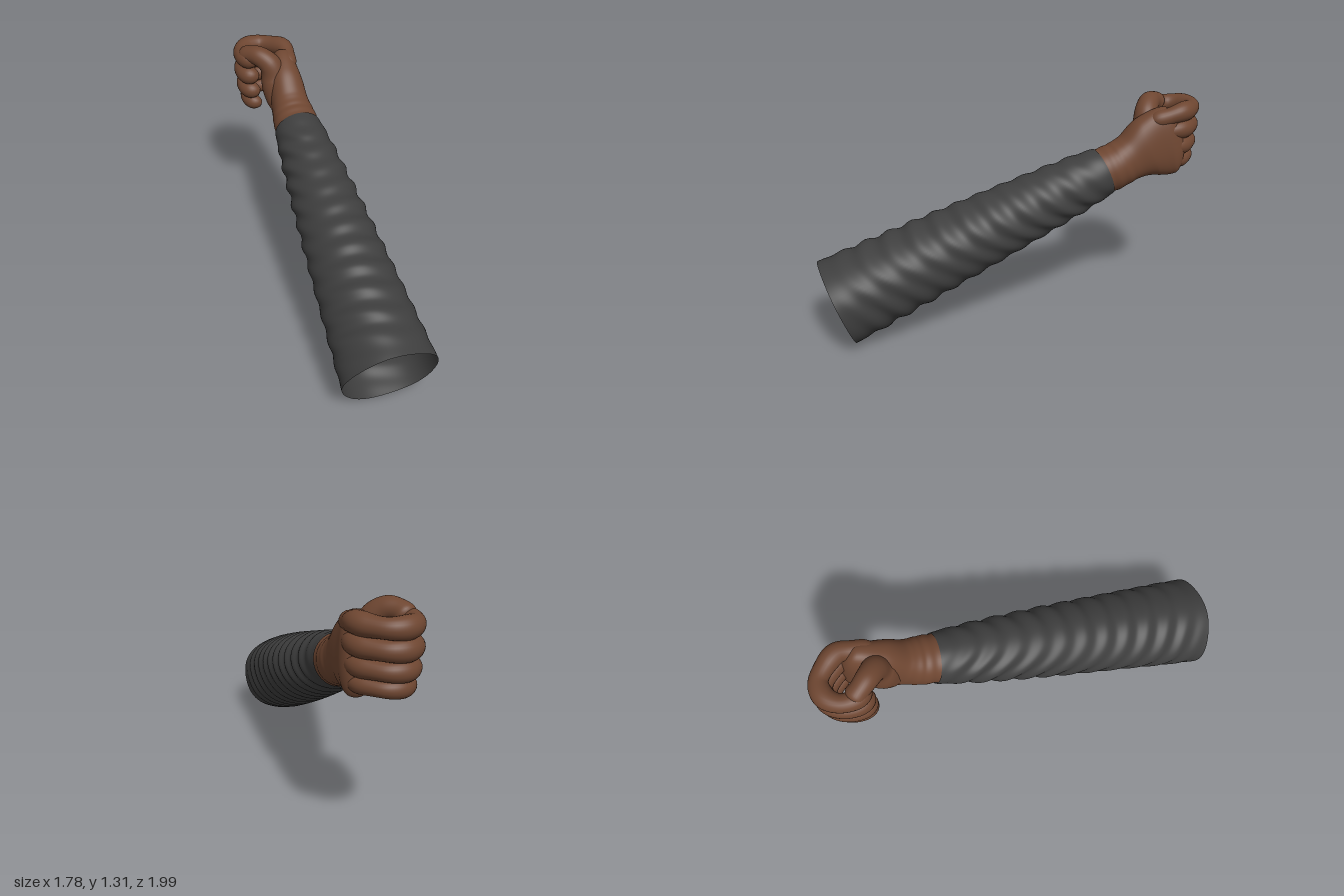
import * as THREE from 'three';

const V = (x, y, z) => new THREE.Vector3(x, y, z);
const path = (pts) => new THREE.CatmullRomCurve3(pts.map((p) => V(...p)));

// Smooth closed-around skin swept along a curve; size(u, angle) gives [side, up] radii
function sweep(curve, rows, cols, hint, size) {
  const pos = [], idx = [];
  for (let i = 0; i <= rows; i++) {
    const u = i / rows;
    const c = curve.getPoint(u), t = curve.getTangent(u);
    const s = hint.clone().cross(t).normalize();
    const up = t.clone().cross(s);
    for (let j = 0; j < cols; j++) {
      const a = (j / cols) * Math.PI * 2;
      const [rs, ru] = size(u, a);
      const p = c.clone().addScaledVector(s, rs * Math.cos(a)).addScaledVector(up, ru * Math.sin(a));
      pos.push(p.x, p.y, p.z);
      if (i < rows) {
        const k = i * cols + j, n = i * cols + ((j + 1) % cols);
        idx.push(k, n, k + cols, n, n + cols, k + cols);
      }
    }
  }
  const g = new THREE.BufferGeometry();
  g.setAttribute('position', new THREE.Float32BufferAttribute(pos, 3));
  g.setIndex(idx);
  g.computeVertexNormals();
  return g;
}

// Rounds off the far end of a sweep over its last part
const roundEnd = (u, len) => (u > 1 - len ? Math.sqrt(Math.max(0, 1 - ((u - 1 + len) / len) ** 2)) : 1);

export function createModel() {
  const group = new THREE.Group();
  const skin = new THREE.MeshStandardMaterial({ color: 0x6e4631 });
  skin.name = 'brown skin';
  const cloth = new THREE.MeshStandardMaterial({ color: 0x3e3e3e, side: THREE.DoubleSide });
  cloth.name = 'charcoal cloth';
  const Y = V(0, 1, 0);
  const add = (name, geometry, material) => {
    const mesh = new THREE.Mesh(geometry, material);
    mesh.name = name;
    group.add(mesh);
  };

  // Sleeve: open tapering tube with chevron folds, narrow at the wrist
  const sleeveLine = new THREE.LineCurve3(V(0.66, 0.241, 0.81), V(-0.337, 0.885, -0.505));
  add('sleeve', sweep(sleeveLine, 180, 80, Y, (u, a) => {
    const t = 1 - u;
    const fade = Math.min(1, t * 8, u * 8);
    const phase = 24 * Math.PI * t - 6 * Math.cos(a - 1.75) + 0.7 * Math.sin(3 * a + 5 * t);
    const fold = 0.009 * Math.sin(phase) * fade * (0.75 + 0.25 * Math.sin(2 * a + 7 * t));
    const r = 0.147 + 0.121 * Math.pow(t, 0.75) + fold + 0.004 * t * Math.sin(5 * a + 1);
    return [r * (1 + 0.03 * t), r * (1 - 0.03 * t)];
  }), cloth);

  // Hand: wrist widening to a flat squarish palm, closing at the knuckles
  const handLine = path([[-0.31, 0.87, -0.47], [-0.38, 0.91, -0.565], [-0.435, 0.955, -0.64],
    [-0.505, 1.015, -0.74], [-0.555, 1.05, -0.84], [-0.585, 1.075, -0.94]]);
  const handSize = path([[0.143, 0.143, 0], [0.139, 0.139, 0], [0.122, 0.143, 0],
    [0.115, 0.195, 0], [0.092, 0.215, 0], [0.07, 0.185, 0]]);
  add('hand', sweep(handLine, 60, 56, Y, (u, a) => {
    const s = handSize.getPoint(u);
    const crease = 1 + 0.02 * Math.sin(u * 50) * Math.max(0, 1 - u * 2.2);
    const square = 1 + 0.09 * u * Math.sin(2 * a) ** 2;
    const k = roundEnd(u, 0.16) * crease * square;
    return [s.x * k, s.y * k];
  }), skin);

  // Fingers: running from inside the hand and curled round an open grip, with jointed bulges
  [['indexFinger', 1.23, 0.057, 1, 0.02], ['middleFinger', 1.125, 0.057, 1, 0.03],
    ['ringFinger', 1.022, 0.053, 0.97, 0.035], ['littleFinger', 0.932, 0.047, 0.9, 0.035],
  ].forEach(([name, y, r, reach, drop]) => {
    const ring = [[-0.475, -0.74], [-0.525, -0.84], [-0.58, -0.915], [-0.665, -0.943], [-0.765, -0.94],
      [-0.828, -0.875], [-0.828, -0.785], [-0.77, -0.715], [-0.675, -0.7]];
    const line = path(ring.map(([x, z], i) => [
      -0.6 + (x + 0.6) * reach, y - drop * (i / 8) ** 2 - 0.3 * (y - 1.06) * Math.max(0, 1 - i / 2),
      -0.84 + (z + 0.84) * reach]));
    add(name, sweep(line, 64, 24, Y, (u) => {
      const k = r * (1 + 0.07 * Math.cos((u - 0.3) * Math.PI * 6.5)) * roundEnd(u, 0.1) * roundEnd(1 - u, 0.1);
      return [k, k];
    }), skin);
  });

  // Thumb: thick base on the palm, arching over to meet the index finger
  const thumbLine = path([[-0.455, 0.9, -0.635], [-0.52, 0.99, -0.69], [-0.562, 1.11, -0.71],
    [-0.594, 1.205, -0.7], [-0.665, 1.25, -0.7], [-0.735, 1.245, -0.715], [-0.79, 1.215, -0.74]]);
  add('thumb', sweep(thumbLine, 60, 32, V(0, 0, 1), (u) => {
    const base = 0.062 + 0.036 * (1 - THREE.MathUtils.smoothstep(u, 0.25, 0.65));
    const k = base * (1 + 0.05 * Math.cos((u - 0.62) * 17)) * roundEnd(u, 0.12) * roundEnd(1 - u, 0.15);
    return [k, k];
  }), skin);

  return group;
}
